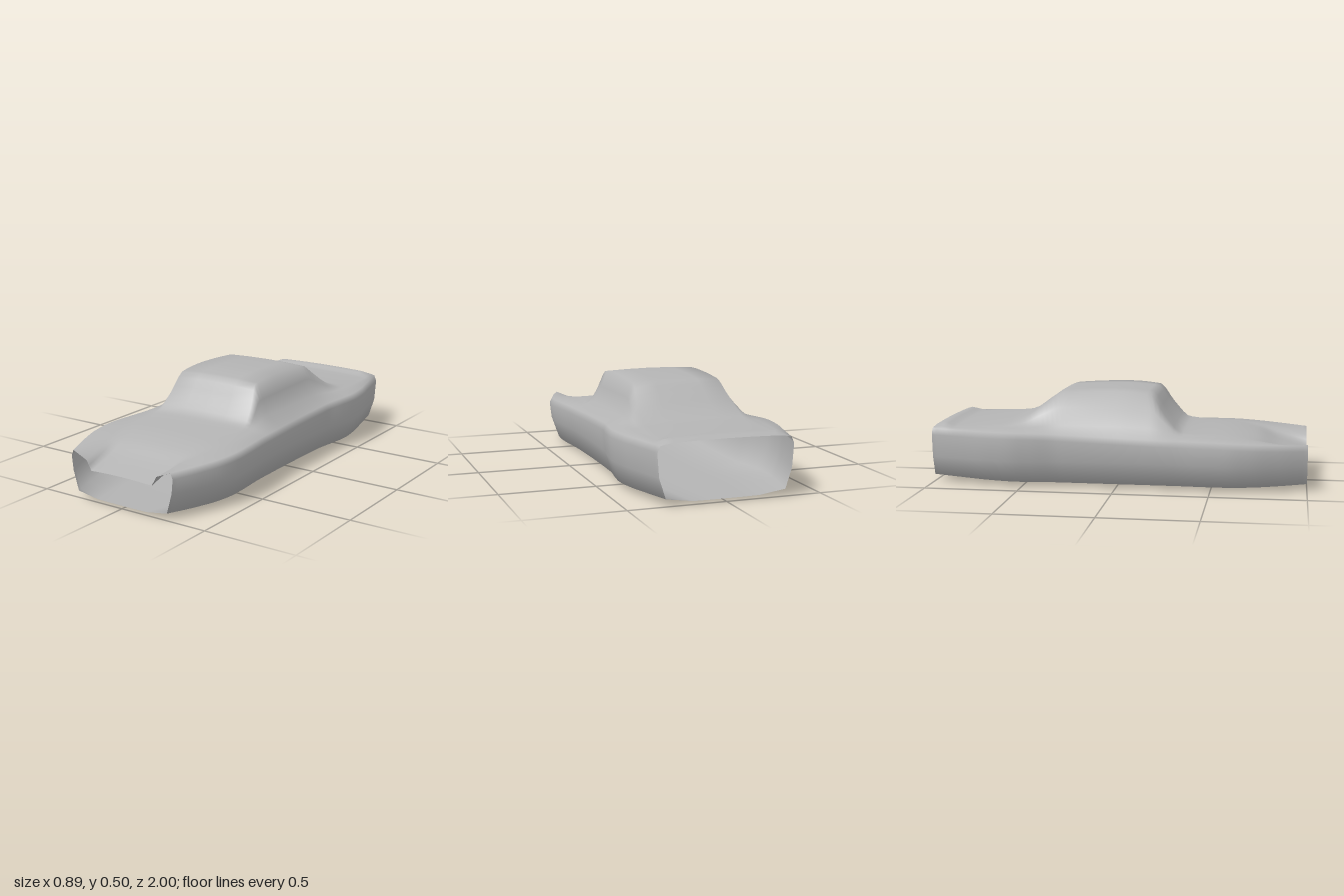
import * as THREE from 'three';

// body plan: z, half width, shoulder height
const PLAN = [
  [-1, 0.352, 0.297], [-0.8, 0.402, 0.297], [-0.68, 0.431, 0.297], [-0.55, 0.445, 0.297],
  [-0.45, 0.434, 0.295], [-0.3, 0.41, 0.288], [0, 0.403, 0.277], [0.3, 0.41, 0.27],
  [0.5, 0.43, 0.27], [0.6, 0.436, 0.268], [0.7, 0.425, 0.264], [0.85, 0.38, 0.258], [1, 0.317, 0.252],
];

// upper body: z, base x/y, middle x/y, upper edge x/y, centre height
const TOP = [
  [-1, 0.31, 0.303, 0.29, 0.305, 0.26, 0.308, 0.312],
  [-0.95, 0.32, 0.308, 0.3, 0.318, 0.27, 0.325, 0.33],
  [-0.89, 0.33, 0.302, 0.31, 0.305, 0.28, 0.309, 0.315],
  [-0.6, 0.34, 0.308, 0.31, 0.315, 0.27, 0.322, 0.327],
  [-0.5, 0.335, 0.31, 0.305, 0.335, 0.265, 0.362, 0.37],
  [-0.4, 0.32, 0.318, 0.285, 0.38, 0.25, 0.43, 0.44],
  [-0.3, 0.31, 0.325, 0.27, 0.415, 0.24, 0.49, 0.497],
  [0, 0.308, 0.325, 0.27, 0.41, 0.24, 0.504, 0.509],
  [0.17, 0.305, 0.32, 0.27, 0.405, 0.24, 0.49, 0.497],
  [0.25, 0.31, 0.305, 0.285, 0.345, 0.262, 0.385, 0.392],
  [0.34, 0.32, 0.284, 0.3, 0.29, 0.275, 0.298, 0.307],
  [0.6, 0.31, 0.272, 0.275, 0.276, 0.21, 0.28, 0.285],
  [0.73, 0.285, 0.262, 0.25, 0.26, 0.2, 0.257, 0.262],
  [0.85, 0.25, 0.243, 0.225, 0.228, 0.192, 0.21, 0.213],
  [1, 0.22, 0.215, 0.205, 0.19, 0.19, 0.164, 0.17],
];

// monotone cubic interpolation of every column of a key table at z
function sample(keys, z) {
  let i = 0;
  while (i < keys.length - 2 && z > keys[i + 1][0]) i++;
  const h = keys[i + 1][0] - keys[i][0];
  const t = (z - keys[i][0]) / h;
  const slope = (k, c) => (keys[k + 1][c] - keys[k][c]) / (keys[k + 1][0] - keys[k][0]);
  const tangent = (k, c) => {
    if (k === 0) return slope(0, c);
    if (k === keys.length - 1) return slope(k - 1, c);
    const a = slope(k - 1, c), b = slope(k, c);
    return a * b <= 0 ? 0 : (2 * a * b) / (a + b);
  };
  return keys[i].map((p, c) => {
    const q = keys[i + 1][c];
    const s = t * t * (3 - 2 * t);
    return p + (q - p) * s + h * (tangent(i, c) * t * (1 - t) ** 2 - tangent(i + 1, c) * t * t * (1 - t));
  });
}

// closed cross-section, from the bottom centre up the left side and down the right
function section(z) {
  const [, w, ys] = sample(PLAN, z);
  const [, x1, y1, x2, y2, x3, y3, yc] = sample(TOP, z);
  const yb = 0.004 + 0.016 * z * z;
  const half = [
    [0.25, yb], [w * 0.49, yb + 0.001], [w * 0.88, yb + 0.021], [w * 0.975, 0.145],
    [w, ys - 0.032], [w * 0.96, ys], [x1, y1], [x2, y2], [x3, y3], [x3 * 0.5, yc - (yc - y3) * 0.25],
  ];
  half[0][0] = w * 0.25;
  const mirrored = half.map(([x, y]) => [-x, y]).reverse();
  return [[0, yb], ...half, [0, yc], ...mirrored];
}

// skin lofted through the sections, open at both ends
function loft(zs) {
  const pos = [], index = [];
  let n = 0;
  zs.forEach((z) => {
    const ring = section(z);
    n = ring.length;
    ring.forEach(([x, y]) => pos.push(x, y, z));
  });
  for (let i = 0; i < zs.length - 1; i++) {
    for (let j = 0; j < n; j++) {
      const k = (j + 1) % n;
      const a = i * n + j, b = i * n + k, c = b + n, d = a + n;
      index.push(a, b, c, a, c, d);
    }
  }
  const g = new THREE.BufferGeometry();
  g.setAttribute('position', new THREE.Float32BufferAttribute(pos, 3));
  g.setIndex(index);
  g.computeVertexNormals();
  return g;
}

export function createModel() {
  const group = new THREE.Group();
  group.name = 'carShell';
  const bodyGrey = new THREE.MeshStandardMaterial({ color: 0xb4b4b4, side: THREE.DoubleSide });
  bodyGrey.name = 'bodyGrey';

  // one continuous hollow shell
  const zs = Array.from({ length: 81 }, (_, i) => -1 + i / 40);
  const body = new THREE.Mesh(loft(zs), bodyGrey);
  body.name = 'bodyShell';
  group.add(body);
  return group;
}
